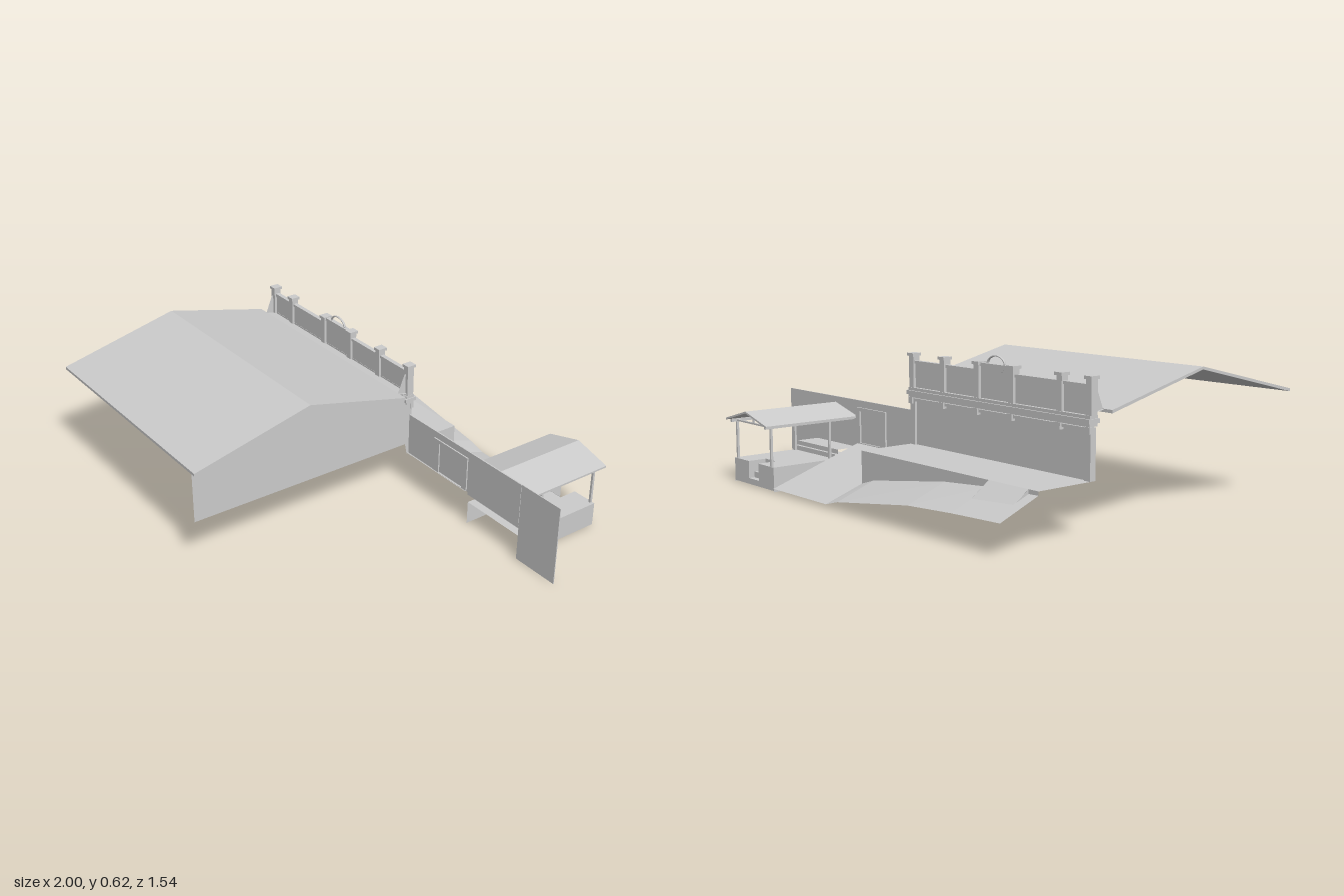
import * as THREE from 'three';

const material = new THREE.MeshStandardMaterial({ color: 0xcccccc, flatShading: true, side: THREE.DoubleSide });

export function createModel() {
  const model = new THREE.Group();

  const add = (name, geometry) => {
    const mesh = new THREE.Mesh(geometry, material);
    mesh.name = name;
    model.add(mesh);
    return mesh;
  };
  // Box given by its limits on each axis
  const box = (name, x0, x1, y0, y1, z0, z1) =>
    add(name, new THREE.BoxGeometry(x1 - x0, y1 - y0, z1 - z0)
      .translate((x0 + x1) / 2, (y0 + y1) / 2, (z0 + z1) / 2));
  // Thin surface stretched between two matching rows of points
  const sheet = (name, a, b) => {
    const points = [];
    for (let i = 0; i < a.length - 1; i++) {
      points.push(...a[i], ...b[i], ...b[i + 1], ...a[i], ...b[i + 1], ...a[i + 1]);
    }
    const g = new THREE.BufferGeometry();
    g.setAttribute('position', new THREE.Float32BufferAttribute(points, 3));
    g.computeVertexNormals();
    return add(name, g);
  };
  // Flat outline of [z, y] points standing at a fixed x
  const sidePanel = (name, x, outline) => {
    const g = new THREE.ShapeGeometry(new THREE.Shape(outline.map(([z, y]) => new THREE.Vector2(-z, y))));
    return add(name, g.rotateY(Math.PI / 2).translate(x, 0, 0));
  };
  // Outline of [x, y] points extruded along z from z0 to z1
  const extrudeZ = (name, outline, z0, z1, hole) => {
    const s = new THREE.Shape(outline.map(p => new THREE.Vector2(...p)));
    if (hole) s.holes.push(new THREE.Path(hole.map(p => new THREE.Vector2(...p))));
    return add(name, new THREE.ExtrudeGeometry(s, { depth: z1 - z0, bevelEnabled: false }).translate(0, 0, z0));
  };

  // Main gable roof, a thin slab with its ridge along x
  const roofLine = [[0.77, 0.455], [0.23, 0.583], [-0.255, 0.465], [-0.255, 0.453], [0.23, 0.572], [0.77, 0.443]];
  const roofShape = new THREE.Shape(roofLine.map(([z, y]) => new THREE.Vector2(-z, y)));
  add('mainRoof', new THREE.ExtrudeGeometry(roofShape, { depth: 1.12, bevelEnabled: false })
    .rotateY(Math.PI / 2).translate(-1, 0, 0));
  sheet('roofBackStrip', [[-0.96, 0.463, -0.255], [0.08, 0.463, -0.255]], [[-0.96, 0.455, -0.3], [0.08, 0.455, -0.3]]);
  sidePanel('gableWall', 0.08, [[0.76, 0.21], [0.76, 0.447], [0.23, 0.573], [-0.25, 0.455], [-0.31, 0.455],
    [-0.31, 0.16], [-0.3, 0.16], [-0.29, 0.21]]);

  // Facade wall with end pilasters, cornice and brackets
  box('facadeWall', -0.96, 0.08, 0.21, 0.46, -0.312, -0.302);
  for (const x of [-0.96, 0.05]) box('facadePilaster', x, x + 0.03, 0.21, 0.4, -0.322, -0.295);
  box('facadeBand', -0.96, 0.08, 0.39, 0.402, -0.322, -0.295);
  box('cornice', -0.965, 0.09, 0.418, 0.434, -0.335, -0.28);
  box('corniceTop', -0.96, 0.085, 0.434, 0.446, -0.327, -0.287);
  box('corniceBottom', -0.96, 0.085, 0.406, 0.418, -0.327, -0.287);

  // Parapet: posts with caps, panels and a central arch
  const postX = [-0.95, -0.8, -0.54, -0.34, -0.13, 0.07];
  for (const x of postX) {
    box('parapetPost', x - 0.014, x + 0.014, 0.446, 0.575, -0.324, -0.292);
    box('parapetCap', x - 0.019, x + 0.019, 0.575, 0.587, -0.33, -0.288);
    box('corniceBracket', x - 0.012, x + 0.012, 0.38, 0.406, -0.33, -0.312);
  }
  postX.slice(1).forEach((x, i) => {
    const top = i === 2 ? 0.575 : 0.548;
    box('parapetPanel', postX[i], x, 0.446, top, -0.312, -0.303);
    box('parapetRail', postX[i], x, top - 0.004, top + 0.008, -0.318, -0.298);
  });
  const arch = new THREE.CylinderGeometry(0.052, 0.052, 0.01, 16, 1, false, Math.PI / 2, Math.PI);
  add('parapetArch', arch.rotateX(-Math.PI / 2).scale(1, 0.7, 1).translate(-0.44, 0.58, -0.308));
  add('archMoulding', new THREE.TorusGeometry(0.05, 0.005, 6, 14, Math.PI).scale(1, 0.7, 1).translate(-0.44, 0.58, -0.308));
  for (const x of [-0.95, 0.07]) sidePanel('parapetButtress', x, [[-0.25, 0.46], [-0.285, 0.545], [-0.3, 0.545], [-0.3, 0.455]]);

  // Raised terrace, its retaining walls and the sloping road
  const road = [[-0.96, 0.195, 0.125], [-0.7, 0.185, 0.115], [-0.45, 0.165, 0.1], [0, 0.1, 0.037], [0.08, 0.075, 0.015]];
  const inner = road.map(([x, y]) => [x, y, -0.57]);
  const outer = road.map(([x, , y]) => [x, y, -0.745]);
  sheet('road', inner, outer);
  sheet('lowerRoad', [[0.08, 0.165, -0.3], [0.47, 0.165, -0.3]], [[0.08, 0.015, -0.745], [0.47, 0.015, -0.745]]);
  sheet('terrace', [[-0.96, 0.21, -0.31], [0.08, 0.21, -0.31]], [[-0.96, 0.21, -0.57], [0.08, 0.21, -0.57]]);
  sheet('retainingWall', inner.map(([x, , z]) => [x, 0.21, z]), inner);
  sidePanel('terraceEndWall', 0.08, [[-0.31, 0.21], [-0.57, 0.21], [-0.57, 0.075], [-0.31, 0.16]]);
  sheet('terraceRamp', [[-0.91, 0.21, -0.57], [-0.7, 0.21, -0.57]], [[-0.91, 0.162, -0.645], [-0.7, 0.153, -0.65]]);
  for (const x of [-0.91, -0.7]) sidePanel('rampSide', x, [[-0.57, 0.21], [-0.57, 0.188], [-0.648, 0.156]]);

  // Side wing wall, its extension and doorway
  box('wingWall', 0.08, 0.785, 0.16, 0.35, -0.316, -0.31);
  box('wallExtension', 0.785, 1, 0, 0.35, -0.316, -0.312);
  extrudeZ('doorFrame', [[0.255, 0.165], [0.255, 0.32], [0.47, 0.32], [0.47, 0.165]], -0.324, -0.304,
    [[0.29, 0.166], [0.44, 0.166], [0.44, 0.305], [0.29, 0.305]]);

  // Platform, open underneath, with a stair cut into its outer edge
  const [px0, px1, sx0, sx1] = [0.47, 0.785, 0.59, 0.67];
  const floor = (name, x0, x1, z0, z1) =>
    sheet(name, [[x0, 0.104, z0], [x1, 0.104, z0]], [[x0, 0.104, z1], [x1, 0.104, z1]]);
  floor('platformFloor', px0, px1, -0.32, -0.66);
  for (const [x0, x1] of [[px0, sx0], [sx1, px1]]) {
    floor('platformFloorEdge', x0, x1, -0.66, -0.742);
    sheet('platformFront', [[x0, 0.104, -0.742], [x1, 0.104, -0.742]], [[x0, 0.005, -0.742], [x1, 0.005, -0.742]]);
  }
  for (const x of [px0, px1]) sidePanel('platformSide', x, [[-0.32, 0], [-0.32, 0.104], [-0.742, 0.104], [-0.742, 0]]);
  for (const x of [sx0, sx1]) sidePanel('stairSide', x, [[-0.66, 0.005], [-0.66, 0.104], [-0.742, 0.104], [-0.742, 0.005]]);
  const stairs = [];
  for (let i = 0; i < 4; i++) {
    const z = -0.742 + i * 0.0273;
    stairs.push([0.005 + i * 0.025, z], [0.03 + i * 0.025, z]);
  }
  sheet('platformStair', stairs.map(([y, z]) => [sx0, y, z]), stairs.map(([y, z]) => [sx1, y, z]));

  // Long steps between platform and wall
  const steps = [[0.16, -0.315], [0.143, -0.315], [0.143, -0.42], [0.124, -0.42], [0.124, -0.435], [0.104, -0.435]];
  sheet('wallSteps', steps.map(([y, z]) => [px0, y, z]), steps.map(([y, z]) => [px1, y, z]));

  // Canopy: gabled roof on posts, with beams and rafters
  extrudeZ('canopyRoof', [[0.467, 0.28], [0.632, 0.325], [0.797, 0.28], [0.797, 0.272], [0.632, 0.317], [0.467, 0.272]],
    -0.775, -0.317);
  for (const x of [0.495, 0.768]) {
    box('canopyBeam', x - 0.005, x + 0.005, 0.264, 0.276, -0.765, -0.317);
    for (const z of [-0.445, -0.735]) box('canopyPost', x - 0.005, x + 0.005, 0.104, 0.268, z - 0.005, z + 0.005);
  }
  for (let i = 0; i < 4; i++) {
    const z = -0.735 + i * 0.1;
    box('canopyTie', 0.495, 0.768, 0.266, 0.273, z - 0.004, z + 0.004);
    box('kingPost', 0.628, 0.636, 0.27, 0.318, z - 0.004, z + 0.004);
  }
  return model;
}
